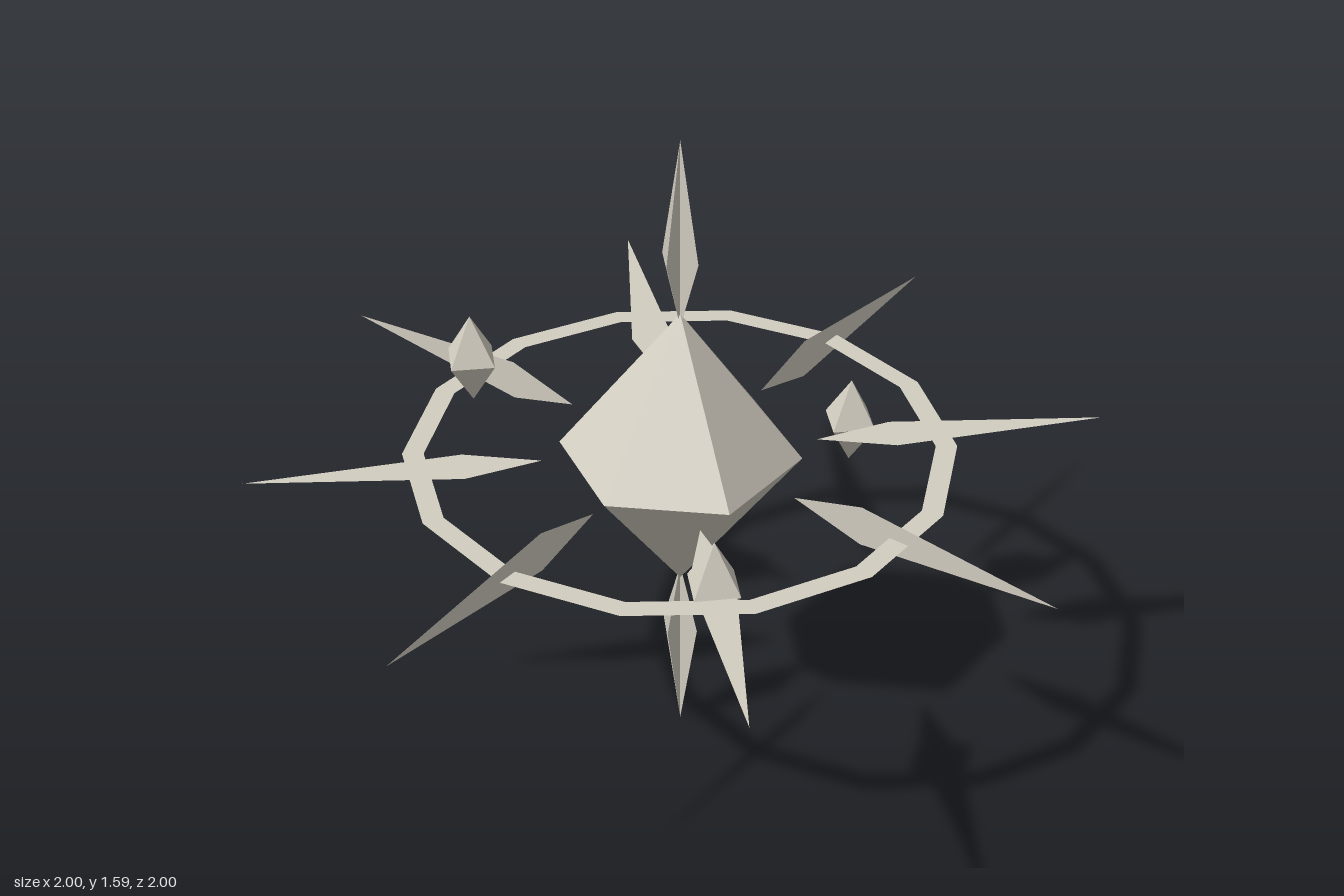
import * as THREE from 'three';

const CENTRE = 0.795;
const stone = new THREE.MeshStandardMaterial({ name: 'paleStone', color: 0xd2cdc0, flatShading: true });
const sheet = new THREE.MeshStandardMaterial({ name: 'paleSheet', color: 0xd2cdc0, flatShading: true, side: THREE.DoubleSide });

// flat kite-shaped blade along +x, lying in the xy plane
function bladeGeometry(inner, wide, tip, half) {
  const s = new THREE.Shape();
  s.moveTo(inner, 0);
  s.lineTo(wide, -half);
  s.lineTo(tip, 0);
  s.lineTo(wide, half);
  s.closePath();
  return new THREE.ShapeGeometry(s);
}

export function createModel() {
  const model = new THREE.Group();
  model.name = 'crystalStar';
  const add = (name, geometry, material, y = CENTRE, x = 0, z = 0) => {
    const mesh = new THREE.Mesh(geometry, material);
    mesh.name = name;
    mesh.position.set(x, y, z);
    model.add(mesh);
    return mesh;
  };

  // six-sided double pyramid, corners on the x axis
  const profile = [[0, -0.365], [0.282, 0], [0, 0.365]].map(p => new THREE.Vector2(...p));
  add('coreCrystal', new THREE.LatheGeometry(profile, 6).rotateY(Math.PI / 6), stone);

  // flat fourteen-sided halo
  add('haloRing', new THREE.RingGeometry(0.59, 0.64, 14).rotateX(-Math.PI / 2), sheet);

  // eight rays: upright on the axes, lying flat on the diagonals
  for (let i = 0; i < 8; i++) {
    const g = bladeGeometry(0.32, 0.5, 1, 0.05);
    if (i % 2) g.rotateX(-Math.PI / 2);
    g.rotateY(i * Math.PI / 4);
    add(i % 2 ? 'diagonalRay' : 'axisRay', g, sheet);
  }

  // top and bottom spikes, each two crossed blades
  for (const side of [1, -1]) {
    for (const turn of [0, Math.PI / 2]) {
      const g = bladeGeometry(0.33, 0.505, 0.795, 0.05).rotateZ(side * Math.PI / 2).rotateY(turn);
      add(side > 0 ? 'topSpike' : 'bottomSpike', g, sheet);
    }
  }

  // three floating shards
  const shard = new THREE.OctahedronGeometry(1).scale(0.072, 0.113, 0.072);
  for (const [x, y, z] of [[-0.372, 0.795, 0.372], [0.506, 0.668, 0.136], [-0.138, 0.922, -0.508]]) {
    add('floatingShard', shard, stone, y, x, z);
  }
  return model;
}
